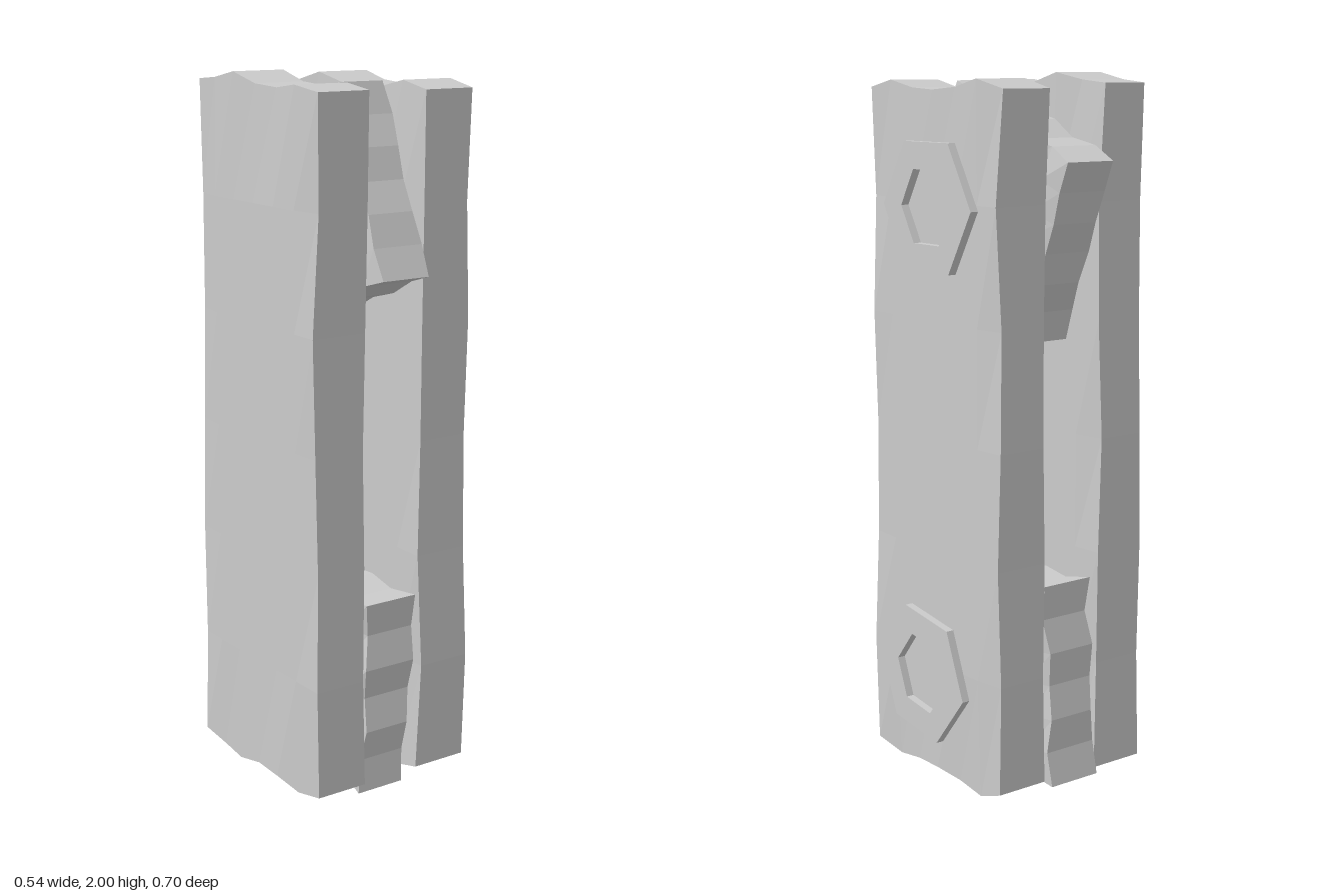
import * as THREE from 'three';

const material = new THREE.MeshStandardMaterial({ color: 0xcccccc, flatShading: true });
const N = 6; // segments along the height and depth of every timber

function seeded(seed) {
  return () => {
    seed = (seed * 16807) % 2147483647;
    return seed / 2147483647;
  };
}

// Rough-hewn timber: a box whose end, front and back edges follow small offset lists.
// top/bottom run from back to front, front/back run from bottom to top.
function timber(name, w, h, d, seed, edges) {
  const geometry = new THREE.BoxGeometry(w, h, d, 1, N, N);
  const p = geometry.attributes.position;
  const random = seeded(seed);
  const chips = Array.from({ length: 2 * (N + 1) * (N + 1) }, () => random() * 0.018);
  for (let i = 0; i < p.count; i++) {
    const x = p.getX(i), y = p.getY(i), z = p.getZ(i);
    const iy = Math.round((y / h + 0.5) * N);
    const iz = Math.round((z / d + 0.5) * N);
    const border = iy === 0 || iy === N || iz === 0 || iz === N;
    const chip = chips[((x > 0 ? 1 : 0) * (N + 1) + iy) * (N + 1) + iz];
    p.setX(i, x - Math.sign(x) * (border ? chip : 0.003));
    if (iy === N) p.setY(i, y + edges.top[iz]);
    if (iy === 0) p.setY(i, y + edges.bottom[iz]);
    if (iz === N) p.setZ(i, z + edges.front[iy]);
    if (iz === 0) p.setZ(i, z + edges.back[iy]);
  }
  geometry.computeVertexNormals();
  const mesh = new THREE.Mesh(geometry, material);
  mesh.name = name;
  return mesh;
}

function hexagon(radius, Type) {
  const points = Array.from({ length: 6 }, (_, i) =>
    new THREE.Vector2(radius * Math.cos(i * Math.PI / 3), radius * Math.sin(i * Math.PI / 3)));
  return new Type(points);
}

// Hexagonal bolt along x: a head with a hexagonal socket, and the shaft behind it
function bolt(name, y, z, turn, x0, x1) {
  const group = new THREE.Group();
  group.name = name;
  const ring = hexagon(0.2, THREE.Shape);
  ring.holes.push(hexagon(0.115, THREE.Path));
  const head = new THREE.Mesh(
    new THREE.ExtrudeGeometry(ring, { depth: x1 - x0, bevelEnabled: false }), material);
  head.name = 'boltHead';
  head.rotation.y = Math.PI / 2;
  head.position.x = x0;
  const shaft = new THREE.Mesh(
    new THREE.ExtrudeGeometry(hexagon(0.14, THREE.Shape), { depth: 0.29, bevelEnabled: false }), material);
  shaft.name = 'boltShaft';
  shaft.rotation.y = Math.PI / 2;
  shaft.position.x = x0 - 0.29;
  group.add(head, shaft);
  group.position.set(0, y, z);
  group.rotation.x = turn;
  return group;
}

export function createModel() {
  const model = new THREE.Group();
  model.name = 'boltedTimberLink';

  // Two long side planks
  const leftPlank = timber('leftPlank', 0.172, 1.95, 0.585, 4211, {
    top: [-0.025, 0, -0.022, -0.03, -0.025, -0.005, -0.025],
    bottom: [0.015, -0.015, 0, 0.01, 0.005, -0.01, 0.015],
    front: [0.0, 0.01, 0, -0.008, -0.006, 0, 0.005],
    back: [0.012, 0.006, 0.014, 0.002, 0.008, 0.016, 0.002],
  });
  leftPlank.position.set(0.159, 1.01, 0.003);
  const rightPlank = timber('rightPlank', 0.172, 1.95, 0.585, 9173, {
    top: [-0.012, -0.004, 0.015, -0.012, -0.018, -0.006, -0.02],
    bottom: [0.015, -0.006, -0.012, 0.008, 0.005, -0.01, 0.012],
    front: [0.004, 0.008, 0, -0.006, -0.008, -0.002, 0.005],
    back: [0.006, 0.014, 0.004, 0.004, 0.01, 0.014, 0.003],
  });
  rightPlank.position.set(-0.186, 1.01, 0.003);

  // Blocks held between the planks, each tilted
  const upperBlock = timber('upperBlock', 0.17, 0.54, 0.54, 3307, {
    top: [0, 0.004, -0.014, 0, -0.012, 0.004, 0],
    bottom: [0, 0.008, 0, 0.012, 0, 0.01, 0],
    front: [0, -0.004, 0, -0.008, 0, -0.005, 0],
    back: [0, 0.008, 0, 0.006, 0.002, 0.006, 0],
  });
  upperBlock.position.set(-0.018, 1.625, 0);
  upperBlock.rotation.x = -0.39;
  const lowerBlock = timber('lowerBlock', 0.17, 0.575, 0.56, 7741, {
    top: [0, -0.012, 0.004, -0.01, 0, -0.012, 0],
    bottom: [0, 0.012, -0.002, 0.018, 0.004, 0.014, 0],
    front: [0, -0.014, 0.01, -0.012, 0.012, -0.01, 0],
    back: [0, 0.014, 0, 0.012, -0.004, 0.012, 0],
  });
  lowerBlock.position.set(-0.018, 0.306, 0);
  lowerBlock.rotation.x = 0.065;

  model.add(leftPlank, rightPlank, upperBlock, lowerBlock);
  model.add(bolt('upperBolt', 1.645, 0, 0, 0.243, 0.267));
  model.add(bolt('lowerBolt', 0.325, 0.035, -0.15, 0.25, 0.273));
  return model;
}
